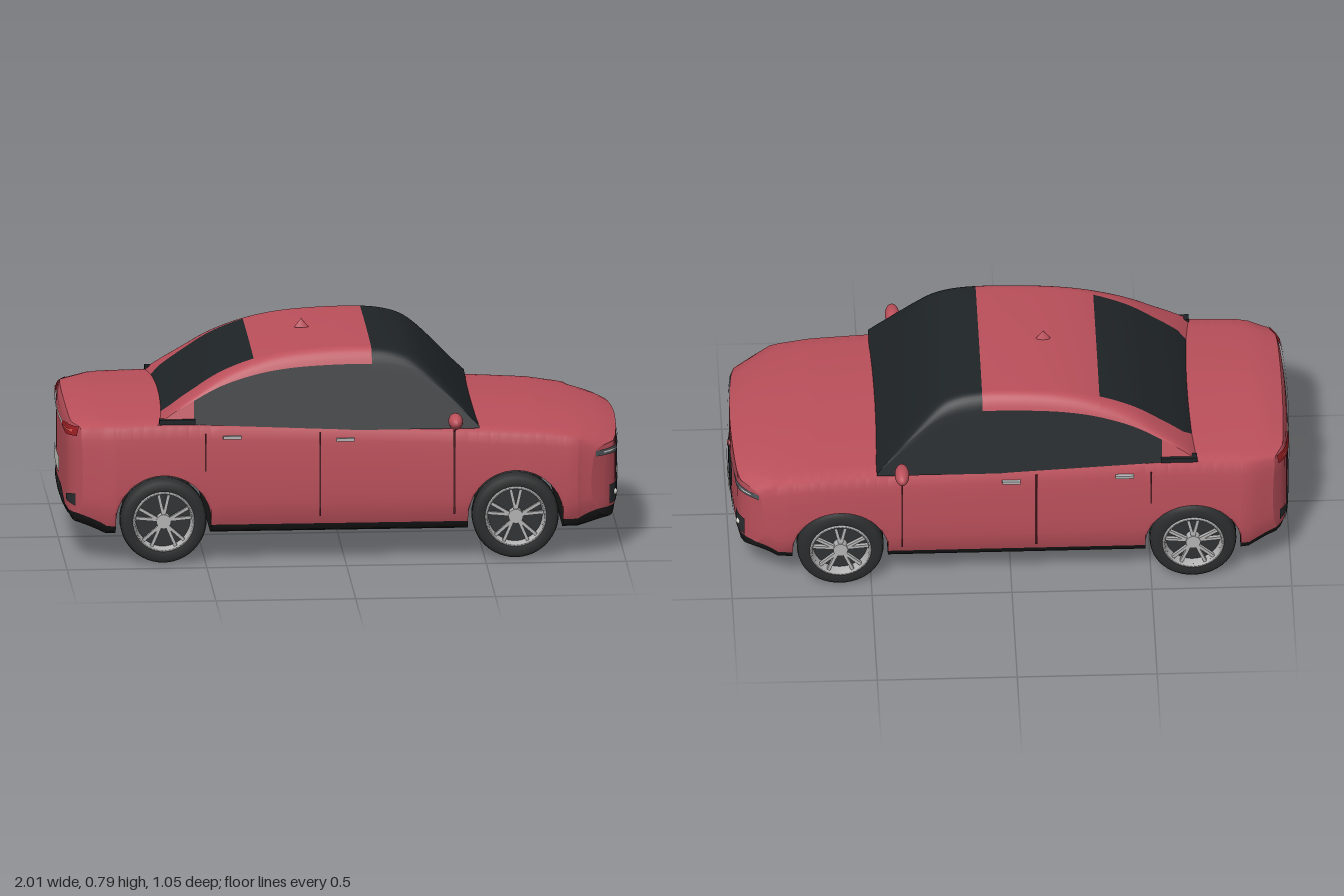
import * as THREE from 'three';

const RED = 0xbb505b, GLASS = 0x1f2427, BLACK = 0x1c1c1d, SILVER = 0xb4b4b4, WHITE = 0xd4d4cc;
const mat = (color) => new THREE.MeshStandardMaterial({ color, side: THREE.DoubleSide });
const lerp = THREE.MathUtils.lerp;

function add(parent, name, geometry, color, x = 0, y = 0, z = 0) {
  const m = new THREE.Mesh(geometry, mat(color));
  m.name = name;
  m.position.set(x, y, z);
  parent.add(m);
  return m;
}

// Surface from a rule: fn(i, j) gives [x, y, z]
function grid(nu, nv, fn) {
  const pos = [], idx = [];
  for (let i = 0; i <= nu; i++) for (let j = 0; j <= nv; j++) pos.push(...fn(i, j));
  for (let i = 0; i < nu; i++) for (let j = 0; j < nv; j++) {
    const a = i * (nv + 1) + j, b = a + nv + 1;
    idx.push(a, b, b + 1, a, b + 1, a + 1);
  }
  const g = new THREE.BufferGeometry();
  g.setAttribute('position', new THREE.Float32BufferAttribute(pos, 3));
  g.setIndex(idx);
  g.computeVertexNormals();
  return g;
}

// Linear lookup in rows [x, a, b, ...]
function look(table, x, k = 1) {
  let i = 0;
  while (i < table.length - 2 && x > table[i + 1][0]) i++;
  const [p, q] = [table[i], table[i + 1]];
  return lerp(p[k], q[k], THREE.MathUtils.clamp((x - p[0]) / (q[0] - p[0]), 0, 1));
}

// ---- lower body rules ----
const DECK = [[-1, 0.495, 0.515], [-0.93, 0.505, 0.533], [-0.6, 0.512, 0.535], [0, 0.495, 0.5], [0.47, 0.475, 0.495],
  [0.7, 0.462, 0.483], [0.85, 0.44, 0.465], [0.95, 0.418, 0.445], [1, 0.395, 0.425]];
const WIDTH = [[-1, 0.4], [-0.92, 0.43], [-0.83, 0.44], [0.65, 0.44], [0.8, 0.435], [0.92, 0.422], [1, 0.408]];
const FLOOR = [[-1, 0.14], [-0.88, 0.1], [0.85, 0.1], [1, 0.13]];
const AXLES = [-0.65, 0.61], ARCH = 0.17, AXLE_Y = 0.155;

// How far the nose (s = 1) or tail (s = -1) reaches at a given height and side position
function reach(s, y, z) {
  const a = Math.abs(z), corner = Math.max(0, (a - 0.3) / 0.11) ** 2, low = Math.max(0, (0.2 - y) / 0.1) ** 2;
  if (s > 0) return 0.99 - 0.02 * (a / 0.33) ** 2 - 0.08 * corner - 0.02 * low;
  return 1 - 0.015 * (a / 0.33) ** 2 - 0.05 * corner - 0.05 * low - 0.02 * Math.max(0, (y - 0.45) / 0.07) ** 2;
}
function shapeEnds(x, y, z) {
  const a = Math.abs(x), s = Math.sign(x);
  return [a < 0.83 ? x : s * (0.83 + (a - 0.83) / 0.17 * (reach(s, y, z) - 0.83)), y, z];
}
function floorAt(x) {
  for (const c of AXLES) {
    const d = Math.abs(x - c);
    if (d <= ARCH) return AXLE_Y + Math.sqrt(Math.max(0, ARCH * ARCH - d * d));
  }
  return look(FLOOR, x);
}
// Half cross-section, row 0 = floor centre, row ROWS = deck centre
const ROWS = 20, SILL = 3;
function section(x, row) {
  const w = look(WIDTH, x), b = look(FLOOR, x), ts = look(DECK, x, 1), tc = look(DECK, x, 2);
  const sideZ = [0.955, 0.985, 0.995, 1, 1, 1, 0.998, 0.994, 0.988, 0.975];
  let y, z;
  if (row < 2) [z, y] = [row * 0.83 * w, b];
  else if (row === 2) [z, y] = [0.93 * w, b + 0.014];
  else if (row <= 12) [z, y] = [w * sideZ[row - 3], lerp(b + 0.038, ts - 0.014, (row - 3) / 9)];
  else {
    const f = (ROWS - row) / 7;
    z = 0.945 * w * f;
    y = ts + (tc - ts) * (1 - f * f);
  }
  return [Math.max(y, floorAt(x)), z];
}

function buildBody(car) {
  // Stations, closer together over the wheel arches
  const xs = [];
  for (let i = 0; i <= 50; i++) xs.push(-1 + i * 0.04);
  for (const c of AXLES) {
    for (let i = 0; i <= 28; i++) xs.push(c - ARCH * Math.cos(Math.PI * i / 28) * 0.99999);
    xs.push(c - ARCH - 0.0005, c + ARCH + 0.0005);
  }
  xs.sort((a, b) => a - b);
  const strip = (from, to) => grid(xs.length - 1, to - from, (i, j) => {
    const r = from + j, row = r < 0 ? -r : r > ROWS ? 2 * ROWS - r : r;
    const [y, z] = section(xs[i], row);
    return shapeEnds(xs[i], y, r < 0 || r > ROWS ? -z : z);
  });
  add(car, 'underbodyAndSills', strip(-SILL, SILL), BLACK);
  add(car, 'bodyShell', strip(SILL, 2 * ROWS - SILL), RED);
  // Nose and tail faces
  for (const s of [1, -1]) {
    const cap = (from, to) => grid(24, to - from, (i, j) => {
      const [y, z] = section(s, from + j);
      return shapeEnds(s, y, s * z * (1 - i / 12));
    });
    add(car, s > 0 ? 'frontLip' : 'rearLip', cap(1, SILL), BLACK);
    add(car, s > 0 ? 'noseFace' : 'tailFace', cap(SILL, ROWS), RED);
  }
}

// ---- cabin: u runs along the roof line, r from belt (0) by window top (1) and rail (2) to centre (3) ----
const ROOF = new THREE.SplineCurve([[-0.68, 0.5], [-0.62, 0.555], [-0.54, 0.612], [-0.44, 0.675], [-0.32, 0.722], [-0.2, 0.748],
  [-0.06, 0.76], [0.1, 0.762], [0.2, 0.748], [0.27, 0.715], [0.35, 0.64], [0.42, 0.56], [0.48, 0.485]].map((p) => new THREE.Vector2(...p)));
const lean = (y) => 0.425 - (y - 0.49) * 0.33;
function cabinPoint(u, r, side) {
  const { x, y: top } = ROOF.getPoint(u / 12);
  const winTop = 0.5 + (top - 0.5) * 0.78, rail = 0.25 + 0.05 * Math.min(1, u);
  let y, z;
  if (r <= 1) {
    y = lerp(Math.min(0.48, winTop), winTop, r);
    z = lean(y);
  } else if (r <= 2) {
    const t = r - 1, a = (1 - t) ** 2, b = 2 * t * (1 - t), c = t * t;
    y = a * winTop + b * (top - 0.004) + c * (top - 0.004);
    z = a * lean(winTop) + b * lean(top) + c * rail;
  } else {
    z = rail * (3 - r);
    y = top - 0.004 * (3 - r) ** 2;
  }
  return [x, y, side * z];
}
function buildCabin(car) {
  const parts = [['windscreen', GLASS, 7, 12, 0, 3], ['roof', RED, 4, 7, 1, 3], ['sideWindow', GLASS, 2, 7, 0, 1],
    ['rearWindow', GLASS, 0, 4, 2, 3], ['rearPillar', RED, 0, 4, 1, 2], ['rearPillarFoot', RED, 0, 2, 0, 1]];
  for (const [name, color, u0, u1, r0, r1] of parts) {
    const nu = (u1 - u0) * 5, half = (r1 - r0) * 7, joined = r1 === 3;
    if (joined) {
      add(car, name, grid(nu, 2 * half, (i, j) =>
        cabinPoint(u0 + i / 5, r0 + Math.min(j, 2 * half - j) / 7, j <= half ? 1 : -1)), color);
    } else for (const s of [1, -1]) {
      add(car, name, grid(nu, half, (i, j) => cabinPoint(u0 + i / 5, r0 + (s > 0 ? j : half - j) / 7, s)), color);
    }
  }
  const fin = add(car, 'roofAerial', new THREE.ConeGeometry(0.012, 0.032, 12), RED, -0.13, 0.774, 0);
  fin.scale.x = 2.2;
}

// Panel lying on the nose or tail; outline rows are [z, low y, high y]
function panel(car, name, s, outline, color, off = 0.004) {
  const z0 = outline[0][0], z1 = outline[outline.length - 1][0];
  add(car, name, grid(24, 5, (i, j) => {
    const z = lerp(z0, z1, i / 24), y = lerp(look(outline, z, 1), look(outline, z, 2), j / 5);
    return [s * (reach(s, y, z) + off), y, z];
  }), color);
}
const mirrored = (o) => o.map(([z, a, b]) => [-z, a, b]).reverse();
function pair(car, name, s, outline, color, off) {
  panel(car, name, s, outline, color, off);
  panel(car, name, s, mirrored(outline), color, off);
}

function buildEnds(car) {
  // Front
  panel(car, 'lowerIntake', 1, [[-0.23, 0.168, 0.172], [-0.14, 0.168, 0.235], [0.14, 0.168, 0.235], [0.23, 0.168, 0.172]], 0x2a2d2f);
  panel(car, 'grille', 1, [[-0.182, 0.265, 0.335], [-0.15, 0.24, 0.36], [0.15, 0.24, 0.36], [0.182, 0.265, 0.335]], GLASS, 0.005);
  panel(car, 'frontPlate', 1, [[-0.132, 0.198, 0.248], [0.132, 0.198, 0.248]], WHITE, 0.009);
  panel(car, 'frontTrimBar', 1, [[-0.27, 0.375, 0.387], [0, 0.367, 0.376], [0.27, 0.375, 0.387]], WHITE, 0.006);
  pair(car, 'headlight', 1, [[0.21, 0.371, 0.375], [0.29, 0.36, 0.389], [0.4, 0.362, 0.382]], 0x53585d, 0.005);
  pair(car, 'headlightStrip', 1, [[0.31, 0.373, 0.378], [0.38, 0.371, 0.376]], WHITE, 0.008);
  pair(car, 'fogLampHousing', 1, [[0.285, 0.185, 0.255], [0.355, 0.178, 0.247]], 0x2a2d2f);
  for (const s of [1, -1]) {
    add(car, 'fogLamp', new THREE.SphereGeometry(0.012, 16, 10), WHITE, reach(1, 0.215, 0.32), 0.215, s * 0.32);
  }
  const boss = add(car, 'grilleBoss', new THREE.CylinderGeometry(0.011, 0.011, 0.012, 8), RED, 0.993, 0.32, 0);
  boss.rotation.z = Math.PI / 2;
  // Rear
  pair(car, 'tailLight', -1, [[0.2, 0.462, 0.478], [0.3, 0.455, 0.492], [0.382, 0.462, 0.496]], 0x9c1f24, 0.006);
  pair(car, 'tailLightStrip', -1, [[0.24, 0.468, 0.474], [0.36, 0.474, 0.482]], 0xd9534f, 0.009);
  panel(car, 'rearTrimBar', -1, [[-0.2, 0.465, 0.476], [0.2, 0.465, 0.476]], WHITE, 0.006);
  panel(car, 'rearPlate', -1, [[-0.13, 0.265, 0.325], [0.13, 0.265, 0.325]], WHITE, 0.007);
  panel(car, 'rearDiffuser', -1, [[-0.32, 0.165, 0.17], [-0.17, 0.16, 0.235], [0.17, 0.16, 0.235], [0.32, 0.165, 0.17]], 0x232526);
  pair(car, 'rearVent', -1, [[0.3, 0.215, 0.235], [0.375, 0.205, 0.25]], 0x2a2d2f);
}

function buildSides(car) {
  for (const s of [1, -1]) {
    for (const [x, low] of [[-0.5, 0.34], [-0.09, 0.17], [0.39, 0.17]]) {
      add(car, 'doorSeam', new THREE.BoxGeometry(0.006, 0.475 - low, 0.008), 0x4a1c22, x, (0.475 + low) / 2, s * 0.437);
    }
    for (const x of [-0.405, 0]) {
      add(car, 'doorHandle', new THREE.BoxGeometry(0.065, 0.011, 0.016), SILVER, x, x < -0.1 ? 0.462 : 0.448, s * 0.438);
    }
    add(car, 'beltTrim', new THREE.BoxGeometry(0.13, 0.018, 0.03), GLASS, -0.6, 0.517, s * 0.41);
    const mirror = add(car, 'wingMirror', new THREE.SphereGeometry(1, 24, 16), RED, 0.392, 0.517, s * 0.473);
    mirror.scale.set(0.026, 0.028, 0.054);
    add(car, 'mirrorArm', new THREE.BoxGeometry(0.025, 0.014, 0.05), GLASS, 0.395, 0.497, s * 0.425);
  }
}

function buildWheel() {
  const wheel = new THREE.Group();
  wheel.name = 'wheel';
  const turned = (pts) => new THREE.LatheGeometry(pts.map((p) => new THREE.Vector2(...p)), 48).rotateX(Math.PI / 2);
  const disc = (r, h) => new THREE.CylinderGeometry(r, r, h, 40).rotateX(Math.PI / 2);
  add(wheel, 'tyre', turned([[0.1, -0.04], [0.115, -0.046], [0.142, -0.045], [0.152, -0.036], [0.155, -0.02], [0.155, -0.004],
    [0.151, -0.003], [0.151, 0.003], [0.155, 0.004], [0.155, 0.02], [0.152, 0.036], [0.142, 0.045], [0.115, 0.046], [0.1, 0.04]]), 0x2b2c2d);
  add(wheel, 'rim', turned([[0.11, 0.03], [0.11, 0.048], [0.101, 0.049], [0.097, 0.012]]), SILVER);
  add(wheel, 'brakeShade', disc(0.1, 0.02), 0x303234);
  add(wheel, 'innerDisc', disc(0.1, 0.01), 0x777a7c, 0, 0, -0.03);
  add(wheel, 'innerHub', disc(0.035, 0.02), SILVER, 0, 0, -0.036);
  add(wheel, 'hub', disc(0.026, 0.034), SILVER, 0, 0, 0.028);
  for (let i = 0; i < 5; i++) for (const s of [1, -1]) {
    const a = i * Math.PI * 0.4 + s * 0.16;
    const spoke = add(wheel, 'spoke', new THREE.BoxGeometry(0.011, 0.085, 0.014), SILVER, -Math.sin(a) * 0.06, Math.cos(a) * 0.06, 0.034);
    spoke.rotation.z = a + s * 0.06;
  }
  return wheel;
}

export function createModel() {
  const car = new THREE.Group();
  car.name = 'saloonCar';
  buildBody(car);
  buildCabin(car);
  buildEnds(car);
  buildSides(car);
  for (const x of AXLES) for (const s of [1, -1]) {
    const wheel = buildWheel();
    wheel.position.set(x, AXLE_Y, s * 0.388);
    if (s < 0) wheel.rotation.y = Math.PI;
    car.add(wheel);
  }
  return car;
}
